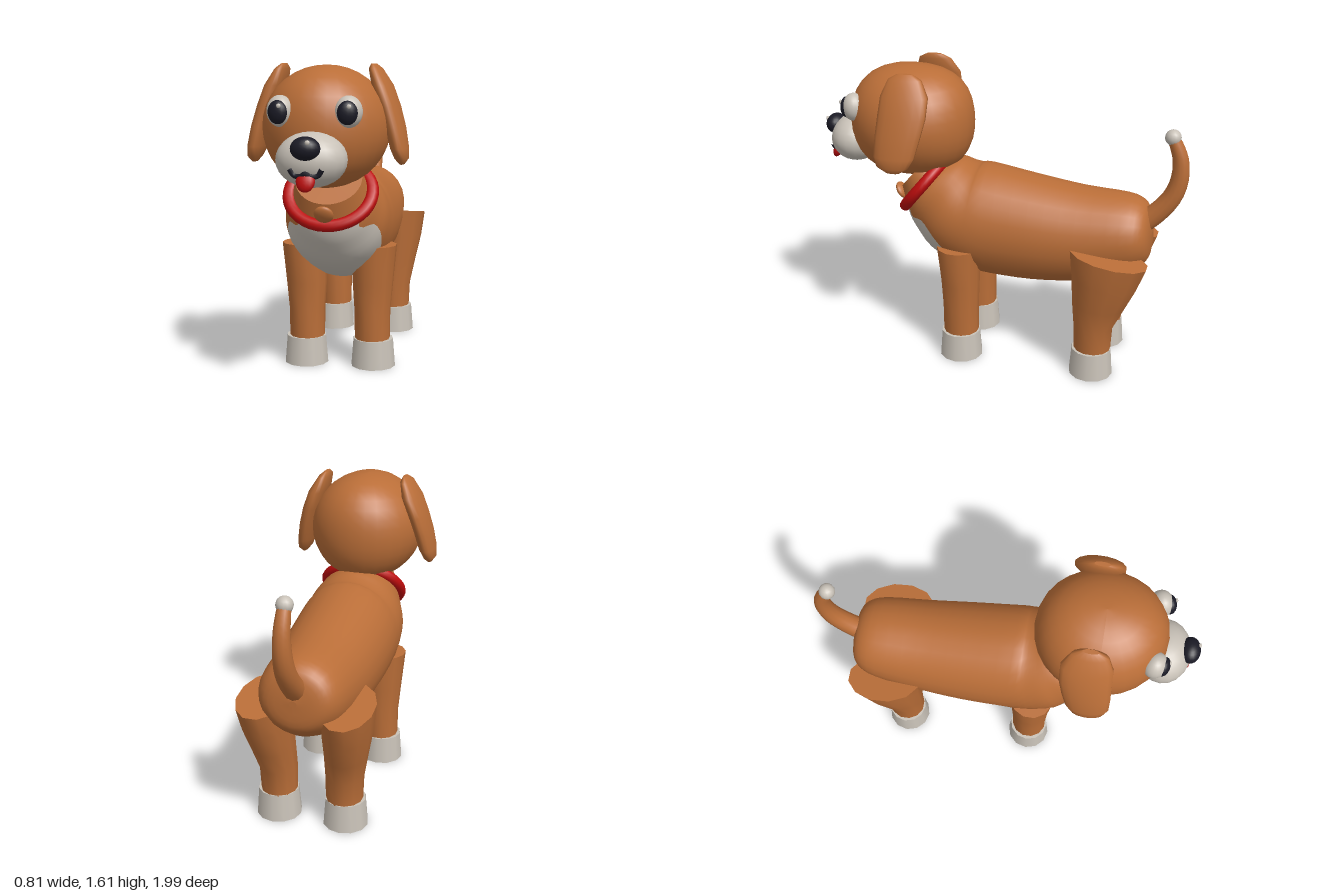
import * as THREE from 'three';

const mat = (name, color) => {
  const m = new THREE.MeshStandardMaterial({ color });
  m.name = name;
  return m;
};
const V = (x, y, z) => new THREE.Vector3(x, y, z);

// Skin a list of closed rings; flat caps close both ends. isSecond(i, j) picks the second material.
function loft(rings, isSecond = () => false) {
  const n = rings[0].length, pos = [], first = [], second = [];
  rings.forEach(r => r.forEach(p => pos.push(p.x, p.y, p.z)));
  for (let i = 0; i < rings.length - 1; i++) {
    for (let j = 0; j < n; j++) {
      const k = (j + 1) % n, a = i * n + j, b = i * n + k;
      (isSecond(i, j) ? second : first).push(a, b, a + n, b, b + n, a + n);
    }
  }
  [rings[0], rings[rings.length - 1]].forEach((r, end) => {
    const base = pos.length / 3, c = V(0, 0, 0);
    r.forEach(p => { pos.push(p.x, p.y, p.z); c.addScaledVector(p, 1 / n); });
    pos.push(c.x, c.y, c.z);
    for (let j = 0; j < n; j++) {
      const a = base + j, b = base + (j + 1) % n;
      first.push(base + n, ...(end ? [a, b] : [b, a]));
    }
  });
  const g = new THREE.BufferGeometry();
  g.setAttribute('position', new THREE.Float32BufferAttribute(pos, 3));
  g.setIndex([...first, ...second]);
  g.addGroup(0, first.length, 0);
  g.addGroup(first.length, second.length, 1);
  g.computeVertexNormals();
  return g;
}

// Horizontal elliptical rings, listed from top to bottom: [y, cx, cz, rx, rz, tilt]
function column(rows, side, n) {
  return loft(rows.map(([y, cx, cz, rx, rz, tilt = 0]) =>
    Array.from({ length: n }, (_, j) => {
      const u = (j + 0.5) / n * Math.PI * 2;
      return V(side * cx + Math.cos(u) * rx, y + Math.sin(u) * tilt, cz + Math.sin(u) * rz);
    })));
}

export function createModel() {
  const model = new THREE.Group();
  const brown = mat('brown fur', 0xba6e38), cream = mat('pale fur', 0xc9c2b8);
  const dark = mat('dark', 0x1b1b26), red = mat('red', 0xbd0d0d);

  const add = (name, geo, material) => {
    const m = new THREE.Mesh(geo, material);
    m.name = name;
    model.add(m);
    return m;
  };
  const ball = (name, material, [x, y, z], [rx, ry, rz], seg = 20) => {
    const m = add(name, new THREE.SphereGeometry(1, seg, Math.ceil(seg * 0.7)), material);
    m.position.set(x, y, z);
    m.scale.set(rx, ry, rz);
    return m;
  };

  // Body sections: [top z, top y, bottom z, bottom y, half width, chest patch angle]
  const sections = [
    [-0.83, 0.80, -0.83, 0.77, 0.02, 0.15], [-0.81, 0.90, -0.825, 0.66, 0.13, 0.15],
    [-0.77, 0.955, -0.78, 0.60, 0.19, 0.15], [-0.68, 0.985, -0.68, 0.54, 0.225, 0.15],
    [-0.45, 1.00, -0.45, 0.475, 0.25, 0.15], [-0.20, 1.035, -0.20, 0.45, 0.27, 0.15],
    [0.06, 1.078, 0.03, 0.455, 0.28, 0.15], [0.12, 1.072, 0.20, 0.485, 0.28, 0.75],
    [0.17, 1.08, 0.37, 0.575, 0.27, 1.15], [0.21, 1.095, 0.46, 0.68, 0.24, 1.15],
    [0.25, 1.10, 0.50, 0.745, 0.22, 0.8], [0.29, 1.10, 0.525, 0.82, 0.195, 1.0],
    [0.35, 1.15, 0.55, 0.92, 0.17, 1.0],
  ];
  const spline = f => new THREE.CatmullRomCurve3(sections.map(f), false, 'catmullrom', 0.5);
  const topLine = spline(s => V(s[4], s[1], s[0])), bottomLine = spline(s => V(s[5], s[3], s[2]));
  const sub = 3, count = (sections.length - 1) * sub, cols = 36, patch = 12;
  const bodyRings = [];
  for (let i = 0; i <= count; i++) {
    const t = topLine.getPoint(i / count), b = bottomLine.getPoint(i / count);
    bodyRings.push(Array.from({ length: cols }, (_, j) => {
      const a = b.x;
      const phi = j < patch ? -a + 2 * a * j / patch
        : a + (2 * Math.PI - 2 * a) * (j - patch) / (cols - patch);
      const k = (1 - Math.cos(phi)) / 2;
      return V(t.x * Math.sin(phi), b.y + (t.y - b.y) * k, b.z + (t.z - b.z) * k);
    }));
  }
  add('body', loft(bodyRings, (i, j) => j < patch && i >= 6 * sub && i < 11 * sub), [brown, cream]);

  // Head, with a fuller brow and back
  const headGeo = new THREE.SphereGeometry(1, 28, 18);
  const hp = headGeo.attributes.position, v = V(0, 0, 0);
  for (let i = 0; i < hp.count; i++) {
    v.fromBufferAttribute(hp, i);
    v.multiplyScalar(1 + 0.25 * v.z * v.z * v.y * v.y);
    hp.setXYZ(i, v.x * 0.315, v.y * 0.3, v.z * 0.335);
  }
  headGeo.computeVertexNormals();
  add('head', headGeo, brown).position.set(0, 1.3, 0.49);

  // Muzzle, nose, mouth and tongue
  ball('muzzle', cream, [0, 1.17, 0.82], [0.17, 0.13, 0.14]);
  ball('nose', dark, [0, 1.232, 0.945], [0.07, 0.055, 0.053]);
  ball('noseGlint', cream, [0.02, 1.262, 0.987], [0.012, 0.012, 0.009], 8);
  const smile = new THREE.CatmullRomCurve3([
    V(-0.075, 1.14, 0.94), V(-0.055, 1.11, 0.935), V(-0.02, 1.108, 0.942), V(0, 1.12, 0.95),
    V(0.02, 1.108, 0.942), V(0.055, 1.11, 0.935), V(0.075, 1.14, 0.94)]);
  add('mouth', new THREE.TubeGeometry(smile, 24, 0.013, 8), dark);
  ball('tongue', red, [0, 1.085, 0.943], [0.045, 0.052, 0.024], 14).rotation.x = -0.35;

  // Collar and tag
  const collar = add('collar', new THREE.TorusGeometry(0.19, 0.031, 12, 36), red);
  collar.position.set(0, 0.957, 0.41);
  collar.rotation.x = -0.69;
  collar.scale.x = 1.12;
  ball('collarTag', brown, [0, 0.873, 0.572], [0.05, 0.05, 0.022], 16).rotation.x = 0.55;

  const earRows = [
    [1.605, 0.225, 0.44, 0.012, 0.04], [1.58, 0.235, 0.44, 0.033, 0.09],
    [1.50, 0.268, 0.435, 0.052, 0.128], [1.40, 0.305, 0.44, 0.052, 0.13],
    [1.30, 0.335, 0.455, 0.05, 0.122], [1.20, 0.358, 0.47, 0.045, 0.11],
    [1.15, 0.37, 0.475, 0.035, 0.085], [1.12, 0.372, 0.475, 0.012, 0.035],
  ];
  const frontLegRows = [
    [0.66, 0.19, 0.185, 0.118, 0.118], [0.45, 0.18, 0.18, 0.108, 0.105],
    [0.30, 0.178, 0.18, 0.096, 0.098], [0.14, 0.178, 0.18, 0.094, 0.097],
  ];
  const hindLegRows = [
    [0.71, 0.22, -0.638, 0.135, 0.205, 0.033], [0.57, 0.21, -0.62, 0.128, 0.175, 0.02],
    [0.42, 0.195, -0.59, 0.112, 0.14, 0.01], [0.28, 0.18, -0.565, 0.1, 0.105],
    [0.14, 0.178, -0.563, 0.096, 0.1],
  ];
  for (const side of [1, -1]) {
    const label = side > 0 ? 'left' : 'right';
    add(label + 'Ear', column(earRows, side, 16), brown);
    add(label + 'FrontLeg', column(frontLegRows, side, 12), brown);
    add(label + 'HindLeg', column(hindLegRows, side, 12), brown);
    for (const [part, z] of [['FrontPaw', 0.18], ['HindPaw', -0.56]]) {
      const paw = new THREE.CylinderGeometry(0.107, 0.119, 0.15, 12);
      add(label + part, paw, cream).position.set(side * 0.183, 0.075, z);
    }
    // Eye with pupil and glints
    ball(label + 'Eye', cream, [side * 0.163, 1.388, 0.762], [0.066, 0.075, 0.06]).rotation.y = side * 0.4;
    ball(label + 'Pupil', dark, [side * 0.165, 1.385, 0.803], [0.049, 0.056, 0.032], 16).rotation.y = side * 0.25;
    ball(label + 'EyeGlint', cream, [side * 0.165 + 0.012, 1.415, 0.83], [0.011, 0.011, 0.007], 8);
  }

  // Tapered, upward-curling tail with a pale tip
  const tailPath = new THREE.CatmullRomCurve3([
    V(0, 0.83, -0.77), V(0, 0.91, -0.855), V(0, 1.0, -0.92), V(0, 1.1, -0.95),
    V(0, 1.2, -0.948), V(0, 1.27, -0.925), V(0, 1.32, -0.9)]);
  const tailRings = [];
  for (let i = 0; i <= 16; i++) {
    const c = tailPath.getPoint(i / 16), across = V(1, 0, 0);
    const up = tailPath.getTangent(i / 16).cross(across), r = 0.06 - 0.028 * i / 16;
    tailRings.push(Array.from({ length: 12 }, (_, j) => {
      const u = j / 12 * Math.PI * 2;
      return c.clone().addScaledVector(across, r * Math.cos(u)).addScaledVector(up, r * Math.sin(u));
    }));
  }
  add('tail', loft(tailRings), brown);
  ball('tailTip', cream, [0, 1.318, -0.902], [0.042, 0.042, 0.042], 14);

  return model;
}
